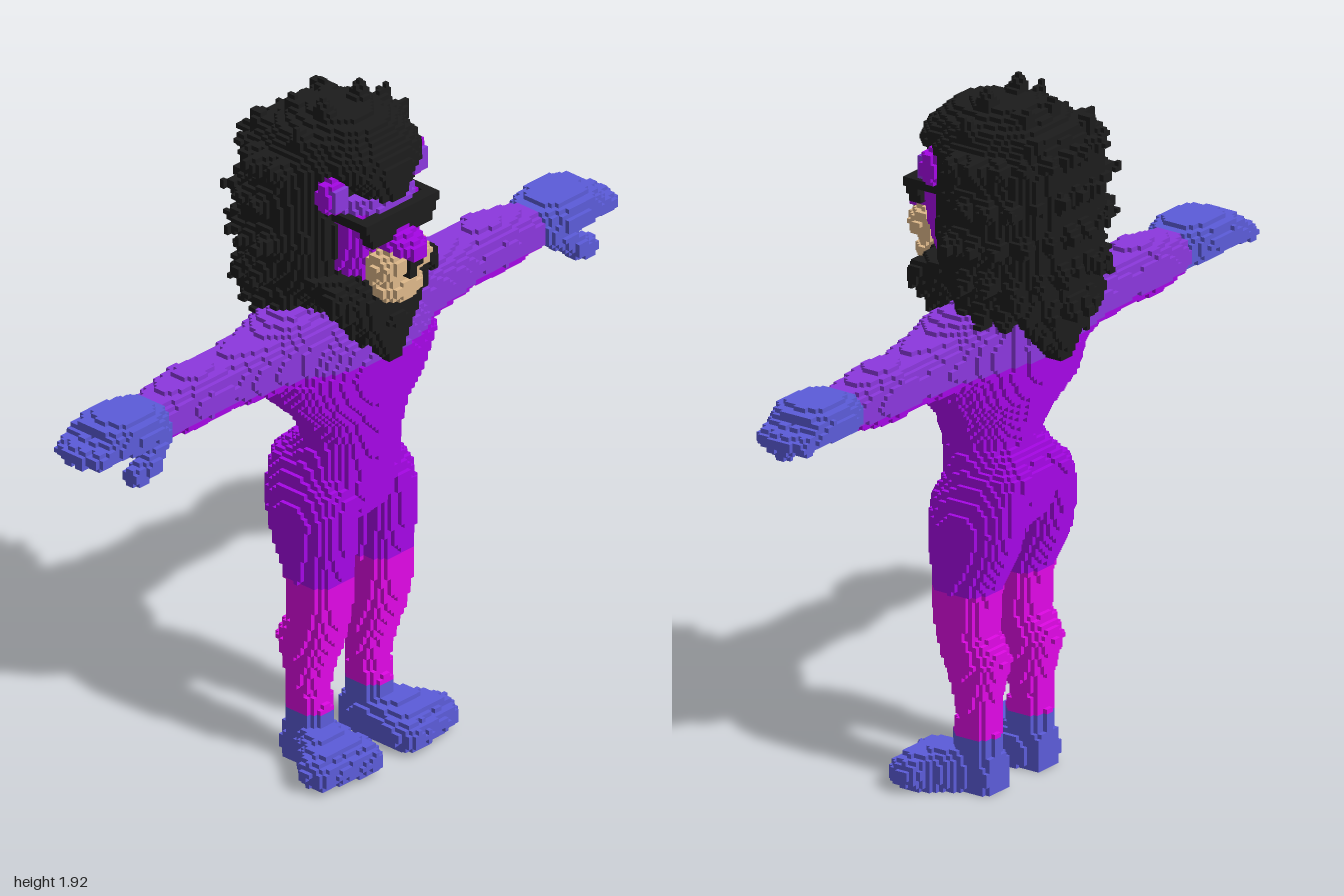
import * as THREE from 'three';

const V = 0.0125; // size of one cube
const NX = 162, NY = 156, NZ = 56; // grid of cubes, centred on x and z

// Linear lookup in rows [t, ...values]; null outside the range
function sample(rows, t) {
  if (t < rows[0][0] || t > rows[rows.length - 1][0]) return null;
  let i = 1;
  while (rows[i][0] < t) i++;
  const a = rows[i - 1], b = rows[i], k = (t - a[0]) / (b[0] - a[0]);
  return a.map((v, j) => v + (b[j] - v) * k);
}

// Solids are tests on a point. Lofts run along one axis with oval sections.
const oval = (a, ra, b, rb, n) => Math.abs(a / ra) ** n + Math.abs(b / rb) ** n <= 1;
const loftY = (rows, n = 2) => (x, y, z) => { // [y, x, rx, z, rz]
  const s = sample(rows, y);
  return s !== null && oval(x - s[1], s[2], z - s[3], s[4], n);
};
const loftX = (rows, n = 2) => (x, y, z) => { // [x, y, ry, z, rz]
  const s = sample(rows, x);
  return s !== null && oval(y - s[1], s[2], z - s[3], s[4], n);
};
const loftZ = (rows, n = 2) => (x, y, z) => { // [z, x, rx, y, ry]
  const s = sample(rows, z);
  return s !== null && oval(x - s[1], s[2], y - s[3], s[4], n);
};
const ball = (cx, cy, cz, rx, ry, rz) => (x, y, z) =>
  ((x - cx) / rx) ** 2 + ((y - cy) / ry) ** 2 + ((z - cz) / rz) ** 2 <= 1;
const box = (x0, x1, y0, y1, z0, z1) => (x, y, z) =>
  x >= x0 && x <= x1 && y >= y0 && y <= y1 && z >= z0 && z <= z1;
const taper = (p, q, r0, r1) => {
  const d = q.map((v, i) => v - p[i]), len2 = d[0] ** 2 + d[1] ** 2 + d[2] ** 2;
  return (x, y, z) => {
    const e = [x - p[0], y - p[1], z - p[2]];
    const k = Math.min(1, Math.max(0, (e[0] * d[0] + e[1] * d[1] + e[2] * d[2]) / len2));
    return Math.hypot(e[0] - d[0] * k, e[1] - d[1] * k, e[2] - d[2] * k) <= r0 + (r1 - r0) * k;
  };
};
const any = (...list) => (x, y, z) => list.some((f) => f(x, y, z));
const between = (f, y0, y1) => (x, y, z) => y >= y0 && y < y1 && f(x, y, z);

// Body
const torso = loftY([
  [0.69, 0, 0.08, 0, 0.06], [0.74, 0, 0.16, 0, 0.11], [0.8, 0, 0.178, -0.005, 0.132],
  [0.87, 0, 0.16, -0.004, 0.132], [0.95, 0, 0.135, 0.03, 0.11], [1.02, 0, 0.165, 0.02, 0.13],
  [1.1, 0, 0.25, 0.005, 0.158], [1.17, 0, 0.285, 0.003, 0.165], [1.25, 0, 0.25, -0.005, 0.16],
  [1.32, 0, 0.22, -0.035, 0.13], [1.36, 0, 0.17, -0.04, 0.1]], 2.2);
const arm = loftX([
  [0.1, 1.22, 0.12, -0.02, 0.13], [0.22, 1.243, 0.107, -0.015, 0.115], [0.3, 1.24, 0.08, -0.012, 0.098],
  [0.38, 1.237, 0.075, -0.015, 0.09], [0.46, 1.237, 0.067, -0.02, 0.077], [0.56, 1.237, 0.077, -0.022, 0.083],
  [0.65, 1.234, 0.064, -0.02, 0.073], [0.72, 1.235, 0.05, -0.015, 0.066]], 2.4);
const leg = loftY([
  [0, 0.11, 0.052, -0.005, 0.068], [0.15, 0.113, 0.052, -0.01, 0.06], [0.21, 0.114, 0.052, -0.015, 0.05],
  [0.28, 0.112, 0.065, -0.012, 0.06], [0.36, 0.112, 0.074, -0.008, 0.088], [0.43, 0.113, 0.076, 0.022, 0.075],
  [0.5, 0.113, 0.08, 0.025, 0.08], [0.56, 0.112, 0.082, 0.02, 0.085], [0.65, 0.112, 0.086, 0.003, 0.117],
  [0.73, 0.112, 0.09, -0.005, 0.128], [0.8, 0.103, 0.086, -0.01, 0.132], [0.87, 0.08, 0.08, -0.035, 0.11],
  [0.93, 0.06, 0.04, -0.03, 0.06]], 2.3);

// Foot with five toes
const foot = [loftZ([
  [-0.072, 0.108, 0.048, 0.04, 0.065], [0, 0.112, 0.06, 0.045, 0.075],
  [0.08, 0.145, 0.092, 0.045, 0.065], [0.15, 0.152, 0.098, 0.045, 0.055]], 3)];
for (let i = 0; i < 5; i++) {
  foot.push(taper([0.08 + i * 0.037, 0.05, 0.12], [0.082 + i * 0.036, 0.046, 0.165 - i * 0.006], 0.044, 0.038));
}

// Hand with four fingers and a lowered thumb
const hand = [
  loftX([[0.71, 1.238, 0.052, -0.015, 0.067], [0.77, 1.245, 0.055, -0.012, 0.095],
    [0.87, 1.25, 0.052, -0.014, 0.095], [0.92, 1.243, 0.042, -0.02, 0.085]], 2.6),
  taper([0.75, 1.22, 0.04], [0.81, 1.17, 0.068], 0.038, 0.03),
  taper([0.81, 1.165, 0.068], [0.855, 1.148, 0.064], 0.032, 0.027)];
for (let i = 0; i < 4; i++) {
  hand.push(taper([0.88, 1.248, 0.045 - i * 0.042], [0.987 - Math.abs(i - 1.5) * 0.016, 1.222, 0.035 - i * 0.038], 0.032, 0.024));
}

// Mane: core, back curtain, beard and forelock, ringed with tufts
const maneRows = [
  [1.33, 0, 0.16, -0.06, 0.155], [1.42, 0, 0.215, -0.055, 0.175], [1.55, 0, 0.248, -0.06, 0.176],
  [1.68, 0, 0.238, -0.06, 0.176], [1.77, 0, 0.21, -0.035, 0.185], [1.83, 0, 0.16, -0.02, 0.15],
  [1.88, 0, 0.06, -0.01, 0.07]];
const mane = [
  loftY(maneRows, 2.2),
  loftY([[1.2, 0, 0.025, -0.185, 0.03], [1.27, 0, 0.08, -0.17, 0.055],
    [1.35, 0, 0.15, -0.145, 0.083], [1.45, 0, 0.19, -0.13, 0.105], [1.74, 0, 0.195, -0.13, 0.108],
    [1.82, 0, 0.13, -0.12, 0.08]], 3),
  loftY([[1.195, 0, 0.018, 0.165, 0.025], [1.25, 0, 0.06, 0.15, 0.04], [1.32, 0, 0.12, 0.12, 0.075],
    [1.4, 0, 0.18, 0.1, 0.09], [1.46, 0, 0.2, 0.05, 0.1]], 2.5),
  loftY([[1.67, 0, 0.06, 0.12, 0.075], [1.73, 0, 0.105, 0.11, 0.09], [1.76, 0, 0.15, 0.1, 0.1],
    [1.8, 0, 0.15, 0.08, 0.105], [1.86, 0, 0.09, 0.04, 0.08]], 2.3),
  taper([0.06, 1.84, 0], [0.07, 1.92, -0.01], 0.045, 0.008),
  taper([0.13, 1.79, 0], [0.165, 1.865, -0.01], 0.05, 0.008),
  taper([0.19, 1.72, -0.02], [0.235, 1.775, -0.03], 0.05, 0.008),
  taper([0.05, 1.83, -0.1], [0.06, 1.885, -0.13], 0.05, 0.008),
  taper([0.1, 1.78, -0.16], [0.12, 1.835, -0.21], 0.05, 0.008)];
[1.38, 1.47, 1.56, 1.65, 1.74].forEach((y, row) => {
  const s = sample(maneRows, y), lift = (y - 1.6) * 0.25;
  for (let i = 0; i < 6; i++) { // from the cheek round to the back
    const a = -0.1 + (i + (row % 2) * 0.5) * 0.31;
    const c = Math.cos(a), d = Math.sin(a), out = 0.038 + 0.008 * ((i + row) % 3);
    const px = s[2] * c, pz = s[3] - s[4] * d;
    mane.push(taper([px * 0.85, y, pz * 0.87], [px + out * c, y + lift, pz - out * d], 0.055, 0.007));
  }
});
for (let i = 0; i < 4; i++) { // tufts down the edges of the beard and the curtain
  const y = 1.27 + i * 0.04, w = 0.065 + i * 0.035;
  mane.push(taper([w, y + 0.03, 0.13], [w + 0.022, y - 0.015, 0.15], 0.032, 0.006));
  mane.push(taper([w + 0.01, y + 0.03, -0.175], [w + 0.03, y - 0.015, -0.21], 0.036, 0.006));
}

// Face
const head = loftY([[1.4, 0, 0.1, 0.06, 0.09], [1.48, 0, 0.122, 0.06, 0.105],
  [1.56, 0, 0.13, 0.07, 0.115], [1.64, 0, 0.13, 0.07, 0.12], [1.685, 0, 0.115, 0.07, 0.11]], 2.8);
const muzzle = any(ball(0.045, 1.505, 0.195, 0.05, 0.045, 0.055), ball(0, 1.425, 0.19, 0.075, 0.04, 0.052),
  ball(0, 1.48, 0.18, 0.09, 0.06, 0.05));
const snout = loftZ([[0.15, 0, 0.075, 1.57, 0.04], [0.2, 0, 0.066, 1.565, 0.034],
  [0.245, 0, 0.045, 1.55, 0.026], [0.28, 0, 0.02, 1.54, 0.02]]);
const nosePad = any(box(0, 0.026, 1.5, 1.528, 0.2, 0.262), box(0, 0.013, 1.46, 1.51, 0.2, 0.25));
const glasses = any(box(0, 0.125, 1.6, 1.645, 0.17, 0.213), box(0.02, 0.115, 1.57, 1.62, 0.17, 0.213),
  box(0.11, 0.137, 1.62, 1.645, 0.08, 0.213));
const ear = ball(0.15, 1.708, 0.1, 0.044, 0.053, 0.032);
const innerEar = ball(0.15, 1.706, 0.125, 0.034, 0.042, 0.014);

const body = any(torso, arm);

// Each solid is mirrored across x = 0; later parts replace earlier ones
const PARTS = [
  ['torsoAndUnderarms', 'purple', between(body, 0, 1.2)],
  ['shouldersAndArms', 'violet', between(body, 1.2, 2)],
  ['thighs', 'purple', between(leg, 0.55, 1)],
  ['shins', 'magenta', between(leg, 0.145, 0.55)],
  ['feet', 'blue', any(between(leg, 0, 0.145), ...foot)],
  ['hands', 'blue', any(...hand)],
  ['mane', 'black', any(...mane)],
  ['face', 'purple', head],
  ['brow', 'violet', between(head, 1.65, 1.7)],
  ['ears', 'purple', ear],
  ['innerEars', 'violet', innerEar],
  ['muzzle', 'tan', muzzle],
  ['snout', 'purple', snout],
  ['nosePad', 'black', nosePad],
  ['sunglasses', 'black', glasses],
];
const COLORS = { purple: 0xa606e6, violet: 0x8c38de, magenta: 0xe008e6, blue: 0x5c5cda, tan: 0xdeb88a, black: 0x1c1c1c };

export function createModel() {
  const group = new THREE.Group();
  const grid = new Uint8Array(NX * NY * NZ);
  const at = (i, j, k) =>
    i < 0 || j < 0 || k < 0 || i >= NX || j >= NY || k >= NZ ? 0 : grid[(i * NY + j) * NZ + k];

  // Fill the grid with part numbers
  for (let i = 0; i < NX; i++) for (let j = 0; j < NY; j++) for (let k = 0; k < NZ; k++) {
    const x = Math.abs((i + 0.5 - NX / 2) * V), y = (j + 0.5) * V, z = (k + 0.5 - NZ / 2) * V;
    for (let p = PARTS.length - 1; p >= 0; p--) {
      if (PARTS[p][2](x, y, z)) { grid[(i * NY + j) * NZ + k] = p + 1; break; }
    }
  }

  // Exposed cube faces, gathered per part
  const data = PARTS.map(() => ({ pos: [], nor: [], idx: [] }));
  for (let i = 0; i < NX; i++) for (let j = 0; j < NY; j++) for (let k = 0; k < NZ; k++) {
    const id = at(i, j, k);
    if (!id) continue;
    const { pos, nor, idx } = data[id - 1];
    for (let axis = 0; axis < 3; axis++) for (const sign of [-1, 1]) {
      const n = [0, 0, 0];
      n[axis] = sign;
      if (at(i + n[0], j + n[1], k + n[2])) continue;
      const base = pos.length / 3, u = (axis + 1) % 3, w = (axis + 2) % 3;
      for (const [a, b] of [[0, 0], [1, 0], [1, 1], [0, 1]]) {
        const c = [i - NX / 2, j, k - NZ / 2];
        c[axis] += sign > 0 ? 1 : 0;
        c[u] += a;
        c[w] += b;
        pos.push(c[0] * V, c[1] * V, c[2] * V);
        nor.push(...n);
      }
      const order = sign > 0 ? [0, 1, 2, 0, 2, 3] : [0, 2, 1, 0, 3, 2];
      idx.push(...order.map((o) => base + o));
    }
  }

  const materials = {};
  for (const name in COLORS) {
    materials[name] = new THREE.MeshStandardMaterial({ color: COLORS[name] });
    materials[name].name = name;
  }
  PARTS.forEach(([name, color], p) => {
    const geo = new THREE.BufferGeometry();
    geo.setAttribute('position', new THREE.Float32BufferAttribute(data[p].pos, 3));
    geo.setAttribute('normal', new THREE.Float32BufferAttribute(data[p].nor, 3));
    geo.setIndex(data[p].idx);
    const mesh = new THREE.Mesh(geo, materials[color]);
    mesh.name = name;
    group.add(mesh);
  });
  return group;
}
